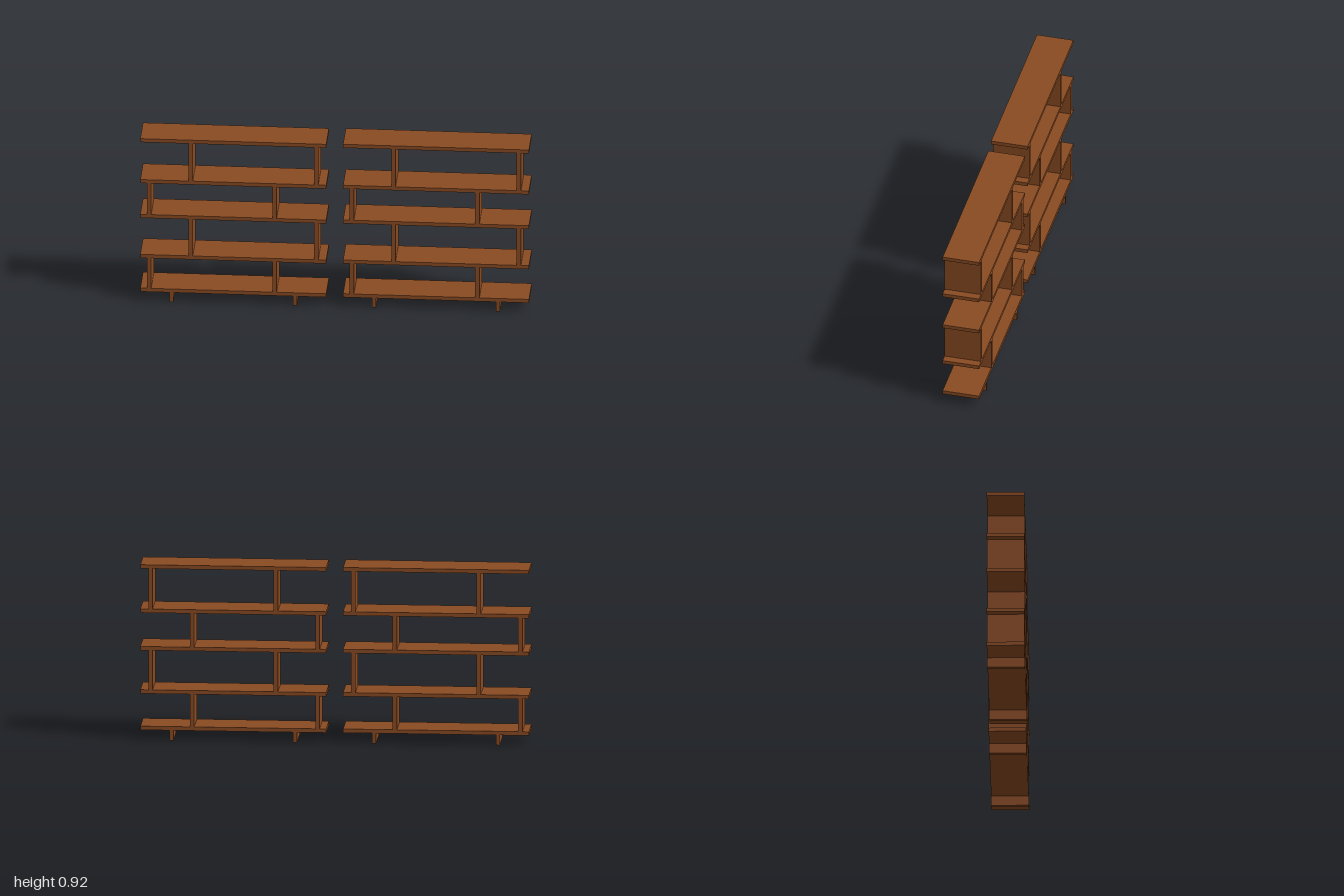
import * as THREE from 'three';

const LENGTH = 0.956, DEPTH = 0.193, BOARD = 0.02, POST = 0.022;
const SHELF_TOPS = [0.073, 0.264, 0.491, 0.688, 0.92];

export function createModel() {
  const wood = new THREE.MeshStandardMaterial({ color: 0x8a4b22 });
  wood.name = 'brown wood';

  function addBoard(parent, name, width, bottom, top, x) {
    const mesh = new THREE.Mesh(new THREE.BoxGeometry(width, top - bottom, DEPTH), wood);
    mesh.name = name;
    mesh.position.set(x, (bottom + top) / 2, 0);
    parent.add(mesh);
  }

  function createUnit(name, x) {
    const unit = new THREE.Group();
    unit.name = name;

    // Shelves, each carrying a staggered pair of uprights up to the next
    SHELF_TOPS.forEach((top, i) => {
      addBoard(unit, `shelf${i + 1}`, LENGTH, top - BOARD, top, 0);
      if (i === SHELF_TOPS.length - 1) return;
      const pair = i % 2 === 0 ? [-0.433, 0.212] : [-0.219, 0.426];
      for (const px of pair) addBoard(unit, `upright${i + 1}`, POST, top, SHELF_TOPS[i + 1] - BOARD, px);
    });

    // Feet under the lowest shelf
    for (const px of [-0.318, 0.318]) addBoard(unit, 'foot', BOARD, 0, SHELF_TOPS[0] - BOARD, px);

    // Each unit stands very slightly askew
    unit.rotation.y = -0.0072;
    unit.position.x = x;
    return unit;
  }

  const model = new THREE.Group();
  model.name = 'staggeredBookshelves';
  model.add(createUnit('rightShelfUnit', -0.521), createUnit('leftShelfUnit', 0.521));
  return model;
}
